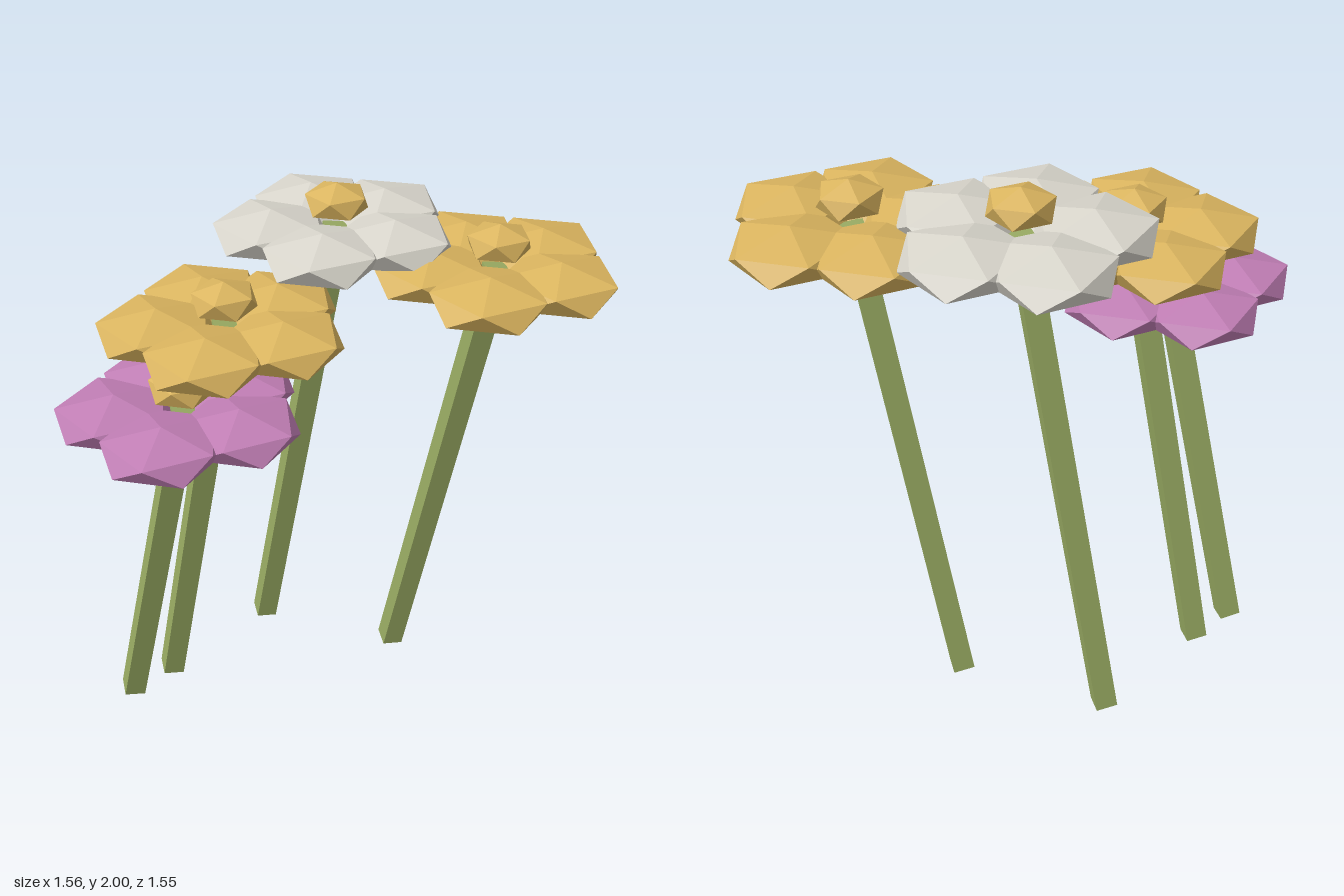
import * as THREE from 'three';

const mat = (name, color) => {
  const m = new THREE.MeshStandardMaterial({ color });
  m.name = name;
  return m;
};

// Icosahedron standing on one corner, flattened, with an upper corner towards +x
function gem(radius, halfHeight) {
  const g = new THREE.IcosahedronGeometry(1, 0);
  g.rotateZ(-Math.atan(2 / (1 + Math.sqrt(5))));
  g.scale(radius, halfHeight, radius);
  return g;
}

export function createModel() {
  const green = mat('stem green', 0x98aa62);
  const gold = mat('gold', 0xdbb55f);
  const white = mat('petal white', 0xd9d6cc);
  const pink = mat('petal purple', 0xc17eb5);

  const petalGeometry = gem(0.216, 0.075);
  const budGeometry = gem(0.118, 0.063);
  const petalRing = 0.22;
  const lean = 0.357; // sideways shift of every stem from foot to head

  const model = new THREE.Group();
  model.name = 'flowers';

  const add = (parent, name, geometry, material, x, y, z) => {
    const mesh = new THREE.Mesh(geometry, material);
    mesh.name = name;
    mesh.position.set(x, y, z);
    parent.add(mesh);
    return mesh;
  };

  function addFlower(name, x, y, z, petalMaterial) {
    const flower = new THREE.Group();
    flower.name = name;

    // Five petals around a raised centre
    for (let i = 0; i < 5; i++) {
      const a = (i * Math.PI * 2) / 5;
      add(flower, 'petal', petalGeometry, petalMaterial,
        x + petalRing * Math.cos(a), y, z + petalRing * Math.sin(a));
    }
    add(flower, 'flowerCentre', budGeometry, gold, x, y + 0.094, z);

    // Square stem turned on edge, leaning towards +x
    const foot = 0.012;
    const rise = y - foot;
    const stemGeometry = new THREE.BoxGeometry(0.078, Math.hypot(lean, rise), 0.078);
    stemGeometry.rotateY(Math.PI / 4);
    const stem = add(flower, 'stem', stemGeometry, green, x - lean / 2, (y + foot) / 2, z);
    stem.rotation.z = -Math.atan2(lean, rise);

    model.add(flower);
  }

  addFlower('whiteFlower', -0.175, 1.845, -0.272, white);
  addFlower('backGoldFlower', 0.368, 1.778, -0.383, gold);
  addFlower('frontGoldFlower', -0.31, 1.662, 0.21, gold);
  addFlower('purpleFlower', -0.372, 1.416, 0.385, pink);

  return model;
}
